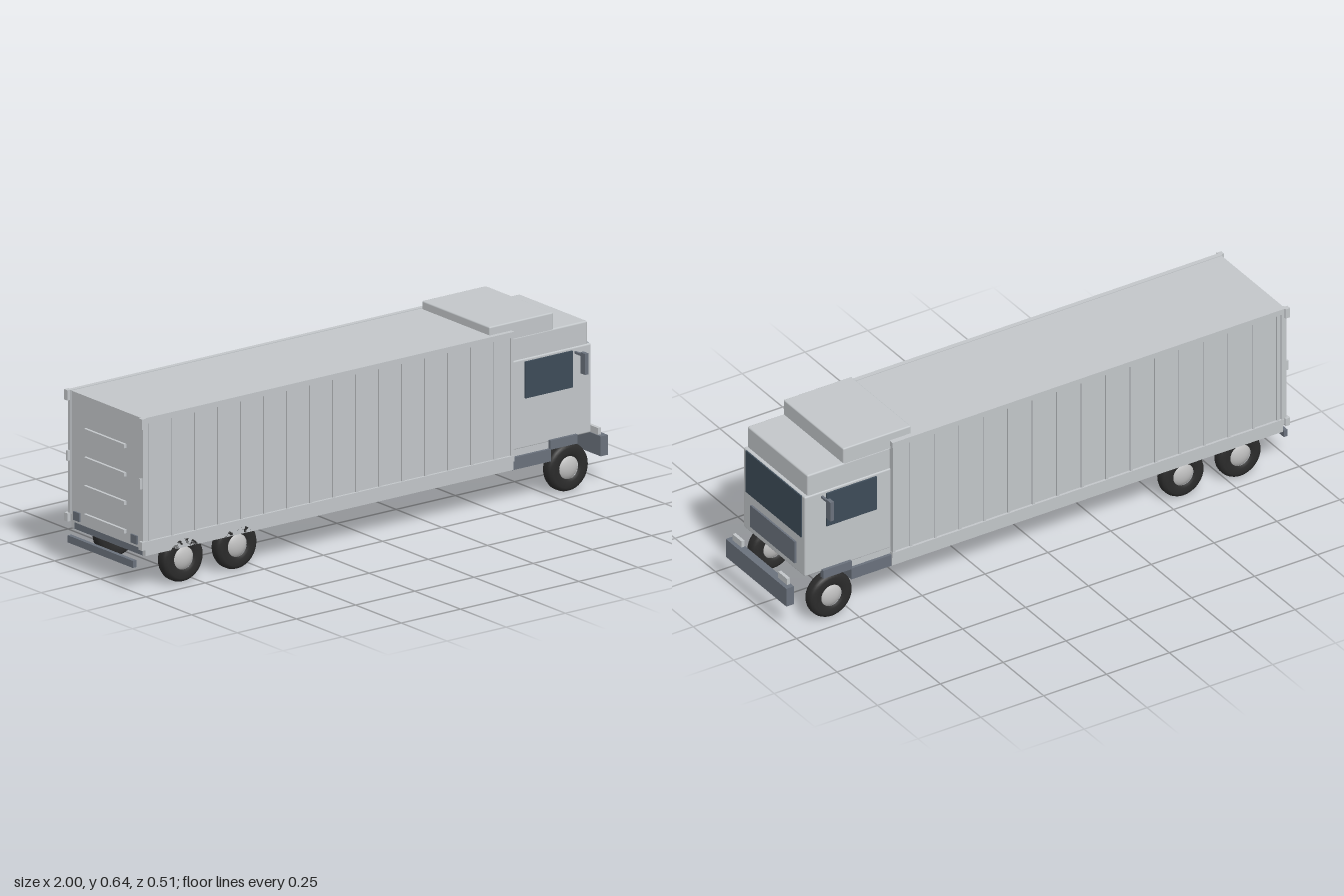
import * as THREE from 'three';
import { RoundedBoxGeometry } from 'three/addons/geometries/RoundedBoxGeometry.js';

const mat = (name, color) => {
  const m = new THREE.MeshStandardMaterial({ color });
  m.name = name;
  return m;
};

export function createModel() {
  const truck = new THREE.Group();
  truck.name = 'boxTruck';
  const body = mat('light grey paint', 0xc2c6c9);
  const slate = mat('slate grey', 0x6a717c);
  const glass = mat('dark glass', 0x3d4b58);
  const rubber = mat('tyre rubber', 0x2b2b2b);
  const metal = mat('hub metal', 0xc0c0c0);

  // Box given by its min and max on each axis; r rounds the edges
  function box(name, m, [x0, x1], [y0, y1], [z0, z1], r = 0) {
    const s = [x1 - x0, y1 - y0, z1 - z0];
    const g = r ? new RoundedBoxGeometry(...s, 2, r) : new THREE.BoxGeometry(...s);
    const mesh = new THREE.Mesh(g, m);
    mesh.name = name;
    mesh.position.set((x0 + x1) / 2, (y0 + y1) / 2, (z0 + z1) / 2);
    truck.add(mesh);
    return mesh;
  }
  // The same box on both sides of the truck
  function pair(name, m, x, y, [z0, z1]) {
    box(name + 'Near', m, x, y, [z0, z1]);
    box(name + 'Far', m, x, y, [-z1, -z0]);
  }

  // Cargo box with rails, posts and ribs
  box('cargoBox', body, [-0.975, 0.585], [0.15, 0.608], [-0.198, 0.198]);
  pair('topRail', body, [-0.978, 0.59], [0.59, 0.61], [0.19, 0.207]);
  pair('bottomRail', body, [-0.972, 0.59], [0.155, 0.175], [0.19, 0.207]);
  pair('sideSkirt', body, [-0.965, 0.59], [0.124, 0.155], [0.185, 0.203]);
  for (let i = 0; i < 16; i++) {
    const x = -0.947 + i * 0.0973;
    pair('sideRib' + i, body, [x - 0.005, x + 0.005], [0.175, 0.59], [0.197, 0.203]);
  }
  pair('rearPost', body, [-0.978, -0.958], [0.175, 0.59], [0.19, 0.205]);
  pair('frontPost', body, [0.578, 0.588], [0.175, 0.59], [0.19, 0.205]);

  // Rear doors: hinges, lock bars and lights
  for (const y of [0.592, 0.38, 0.16]) {
    const z = y === 0.38 ? 0.203 : 0.213;
    pair('rearHinge', body, [-0.988, -0.97], [y - 0.018 + (y < 0.2 ? 0.007 : 0), y + 0.018], [0.195, z]);
  }
  for (let i = 0; i < 4; i++) {
    const y = 0.19 + i * 0.1;
    box('doorBar' + i, body, [-0.985, -0.974], [y - 0.007, y + 0.007], [-0.11, 0.11]);
  }
  pair('rearLight', slate, [-0.981, -0.974], [0.16, 0.19], [0.14, 0.175]);
  box('rearBumper', slate, [-1, -0.985], [0.083, 0.108], [-0.178, 0.178]);

  // Chassis
  box('chassisFloor', slate, [-0.965, 0.6], [0.122, 0.152], [-0.186, 0.186]);
  box('cabChassis', slate, [0.585, 0.75], [0.122, 0.178], [-0.186, 0.186]);
  pair('sideStep', slate, [0.585, 0.75], [0.122, 0.165], [0.183, 0.2]);
  pair('wheelArch', slate, [0.748, 0.862], [0.163, 0.195], [0.183, 0.201]);

  // Cab
  box('cabLower', body, [0.585, 0.928], [0.186, 0.5], [-0.19, 0.19], 0.006);
  box('cabSill', body, [0.585, 0.75], [0.165, 0.2], [-0.189, 0.189]);
  box('cabUpper', body, [0.585, 0.915], [0.45, 0.58], [-0.186, 0.186], 0.006);
  box('roofFairing', body, [0.502, 0.772], [0.57, 0.637], [-0.185, 0.185], 0.005);
  box('windshield', glass, [0.925, 0.932], [0.335, 0.497], [-0.172, 0.172]);
  box('grille', slate, [0.926, 0.935], [0.215, 0.3], [-0.137, 0.137]);
  pair('sideWindow', glass, [0.645, 0.845], [0.362, 0.49], [0.188, 0.197]);

  // Mirrors on arms
  pair('mirrorArm', slate, [0.856, 0.864], [0.477, 0.485], [0.188, 0.24]);
  pair('mirror', slate, [0.853, 0.867], [0.418, 0.492], [0.227, 0.253]);

  // Front bumper with headlights
  box('frontBumper', slate, [0.97, 1], [0.093, 0.163], [-0.187, 0.187]);
  pair('headlight', body, [0.973, 0.985], [0.16, 0.187], [0.113, 0.168]);

  // Wheels: rounded tyre with a domed hub showing on both faces
  const p = [[0.04, -0.018], [0.05, -0.024], [0.07, -0.024], [0.08, -0.019], [0.084, -0.009],
    [0.084, 0.009], [0.08, 0.019], [0.07, 0.024], [0.05, 0.024], [0.04, 0.018]];
  const tyre = new THREE.LatheGeometry(p.map(([r, y]) => new THREE.Vector2(r, y)), 36);
  tyre.rotateX(Math.PI / 2);
  const hub = new THREE.SphereGeometry(0.048, 28, 16);
  hub.scale(1, 1, 0.55);
  for (const x of [-0.8, -0.573, 0.827]) {
    for (const z of [-0.179, 0.179]) {
      const wheel = new THREE.Group();
      wheel.name = 'wheel';
      const t = new THREE.Mesh(tyre, rubber);
      t.name = 'tyre';
      const h = new THREE.Mesh(hub, metal);
      h.name = 'hub';
      wheel.add(t, h);
      wheel.position.set(x, 0.084, z);
      truck.add(wheel);
    }
  }
  return truck;
}
